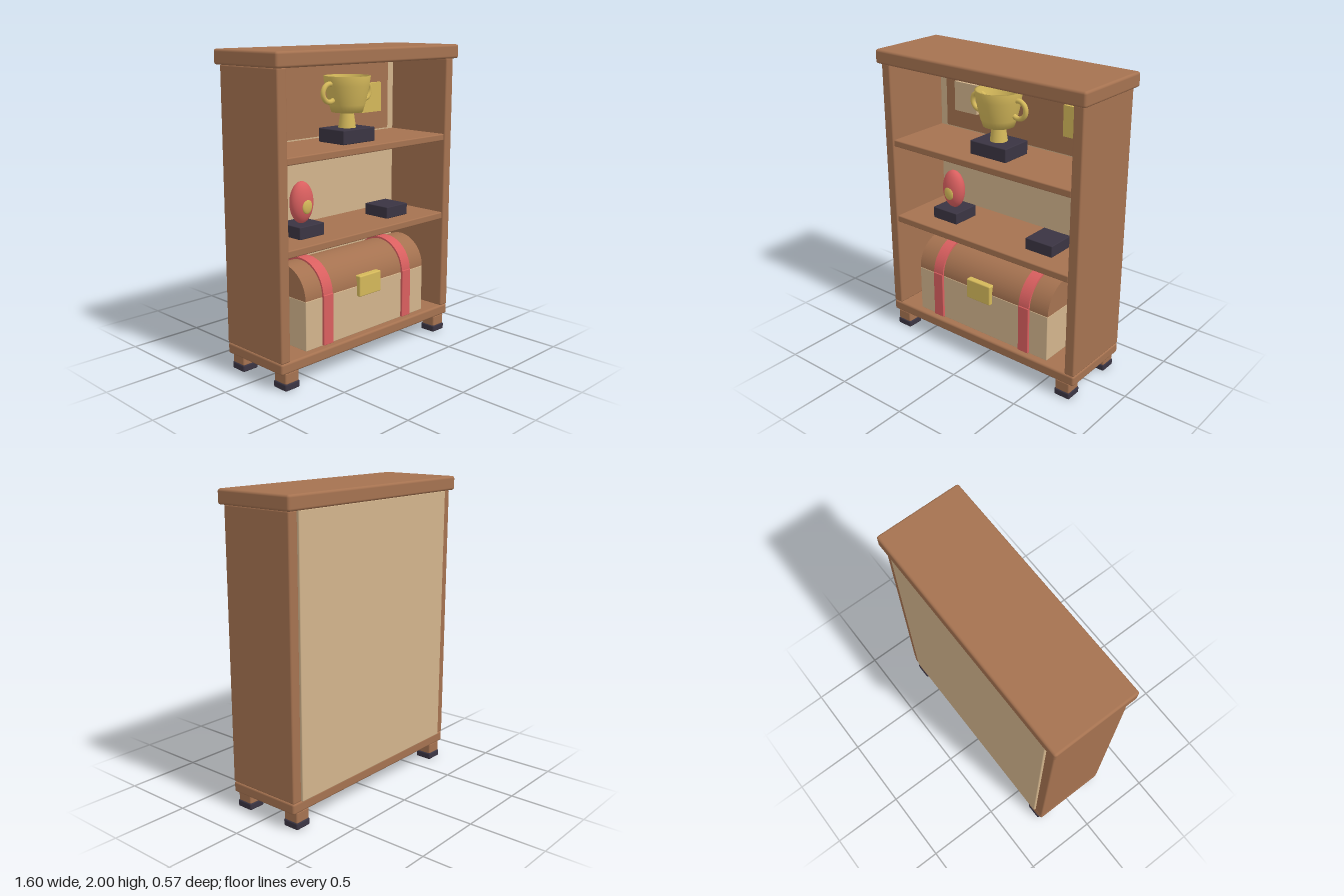
import * as THREE from 'three';
import { RoundedBoxGeometry } from 'three/addons/geometries/RoundedBoxGeometry.js';

const mat = (name, color, side = THREE.FrontSide) => {
  const m = new THREE.MeshStandardMaterial({ color, side });
  m.name = name;
  return m;
};

export function createModel() {
  const wood = mat('wood', 0xa57250);
  const tan = mat('tan', 0xd2b48c);
  const red = mat('red', 0xd95f5f);
  const gold = mat('gold', 0xd4b85a, THREE.DoubleSide);
  const dark = mat('dark', 0x3a3442);

  const model = new THREE.Group();
  model.name = 'displayCabinet';

  const group = (name) => {
    const g = new THREE.Group();
    g.name = name;
    model.add(g);
    return g;
  };
  const add = (parent, name, geometry, material, x = 0, y = 0, z = 0) => {
    const mesh = new THREE.Mesh(geometry, material);
    mesh.name = name;
    mesh.position.set(x, y, z);
    parent.add(mesh);
    return mesh;
  };
  // Box given by its extents; r > 0 rounds the edges
  const box = (parent, name, material, [x0, x1], [y0, y1], [z0, z1], r = 0) => {
    const size = [x1 - x0, y1 - y0, z1 - z0];
    const geometry = r ? new RoundedBoxGeometry(...size, 3, r) : new THREE.BoxGeometry(...size);
    return add(parent, name, geometry, material, (x0 + x1) / 2, (y0 + y1) / 2, (z0 + z1) / 2);
  };

  // Cabinet carcass
  const cabinet = group('cabinet');
  box(cabinet, 'topBoard', wood, [-0.8, 0.8], [1.908, 2], [-0.285, 0.285], 0.016);
  box(cabinet, 'baseBoard', wood, [-0.775, 0.775], [0.11, 0.181], [-0.258, 0.258], 0.014);
  box(cabinet, 'backPanel', tan, [-0.707, 0.707], [0.18, 1.91], [-0.271, -0.218], 0.006);
  for (const s of [-1, 1]) {
    const side = s < 0 ? 'right' : 'left';
    box(cabinet, side + 'Side', wood, [s * 0.74 - 0.035, s * 0.74 + 0.035], [0.18, 1.91], [-0.258, 0.258], 0.01);
    for (const f of [-1, 1]) {
      const x = s * 0.689, z = f * 0.2;
      const end = side + (f < 0 ? 'Back' : 'Front');
      box(cabinet, end + 'Leg', wood, [x - 0.053, x + 0.053], [0.04, 0.115], [z - 0.053, z + 0.053], 0.01);
      box(cabinet, end + 'Foot', dark, [x - 0.057, x + 0.057], [0, 0.046], [z - 0.057, z + 0.057], 0.01);
    }
  }
  box(cabinet, 'upperShelf', wood, [-0.707, 0.707], [1.358, 1.404], [-0.22, 0.25], 0.008);
  box(cabinet, 'lowerShelf', wood, [-0.707, 0.707], [0.813, 0.86], [-0.22, 0.25], 0.008);

  // Plaque board with two plates
  const display = group('plaqueDisplay');
  box(display, 'plaqueBoard', wood, [-0.635, 0.63], [1.415, 1.875], [-0.22, -0.2]);
  box(display, 'tanPlaque', tan, [-0.54, -0.35], [1.54, 1.74], [-0.2, -0.175]);
  box(display, 'goldPlaque', gold, [0.345, 0.535], [1.54, 1.74], [-0.2, -0.175]);

  // Trophy cup
  const trophy = group('trophy');
  const tz = 0.025;
  box(trophy, 'trophyBase', dark, [-0.142, 0.142], [1.404, 1.494], [tz - 0.112, tz + 0.112], 0.006);
  add(trophy, 'trophyStem', new THREE.CylinderGeometry(0.042, 0.057, 0.105, 32), gold, 0, 1.545, tz);
  const cup = [[0, 1.593], [0.1, 1.593], [0.115, 1.64], [0.13, 1.7], [0.141, 1.76], [0.15, 1.82],
    [0.138, 1.82], [0.12, 1.72], [0.09, 1.63], [0, 1.62]].map(([x, y]) => new THREE.Vector2(x, y));
  add(trophy, 'trophyCup', new THREE.LatheGeometry(cup, 32), gold, 0, 0, tz);
  for (const s of [-1, 1])
    add(trophy, 'trophyHandle', new THREE.TorusGeometry(0.056, 0.016, 12, 32), gold, s * 0.153, 1.719, tz);

  // Oval ornament and its stand, with an empty stand beside it
  const ornament = group('ornament');
  for (const x of [-0.392, 0.388])
    box(ornament, 'stand', dark, [x - 0.102, x + 0.102], [0.86, 0.938], [-0.083, 0.117], 0.005);
  add(ornament, 'ovalBody', new THREE.SphereGeometry(1, 32, 24), red, -0.392, 1.066, 0.02).scale.set(0.084, 0.132, 0.06);
  add(ornament, 'ovalEmblem', new THREE.SphereGeometry(1, 20, 12), gold, -0.392, 1.047, 0.072).scale.set(0.039, 0.048, 0.014);

  // Chest with a domed lid
  const chest = group('chest');
  const cz = 0.017, seam = 0.503;
  const dome = (name, material, r, x0, x1) => {
    const geometry = new THREE.ExtrudeGeometry(
      new THREE.Shape().absarc(0, 0, r, 0, Math.PI, false), { depth: x1 - x0, bevelEnabled: false, curveSegments: 32 });
    geometry.rotateY(Math.PI / 2);
    return add(chest, name, geometry, material, x0, seam, cz);
  };
  box(chest, 'chestBody', tan, [-0.543, 0.541], [0.186, seam], [cz - 0.2, cz + 0.2], 0.004);
  dome('chestLid', wood, 0.198, -0.543, 0.541);
  for (const x of [-0.366, 0.361]) {
    box(chest, 'strap', red, [x - 0.04, x + 0.04], [0.19, 0.515], [cz - 0.216, cz + 0.216], 0.004);
    dome('lidStrap', red, 0.21, x - 0.04, x + 0.04);
  }
  box(chest, 'latch', gold, [-0.1, 0.096], [0.434, 0.572], [0.19, 0.243], 0.008);

  return model;
}
